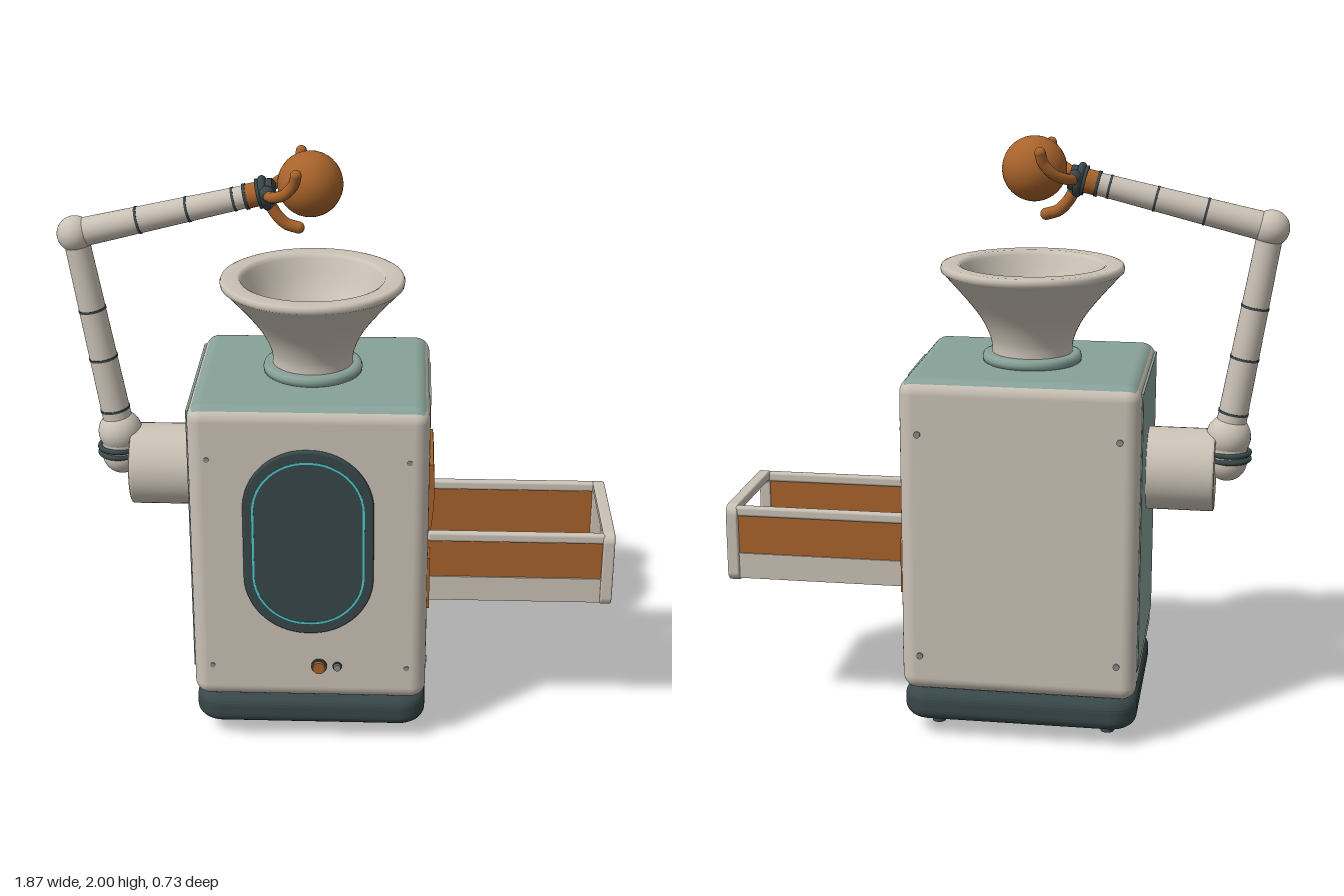
import * as THREE from 'three';
import { RoundedBoxGeometry } from 'three/addons/geometries/RoundedBoxGeometry.js';

const mat = (name, color, side = THREE.FrontSide) => {
  const m = new THREE.MeshStandardMaterial({ color, side });
  m.name = name;
  return m;
};
const cream = mat('cream', 0xcbc2b6);
const sage = mat('sage', 0x87a199);
const dark = mat('charcoal', 0x384749);
const orange = mat('burntOrange', 0xa8632b);
const cyan = mat('cyan', 0x4cc9cc);
const grey = mat('screwGrey', 0x868b89);

const CX = -0.095, CZ = -0.008; // body centre
const V = (x, y, z = -0.015) => new THREE.Vector3(x, y, z);

// Rounded rectangle centred on the origin
function roundRect(w, h, r, Type = THREE.Shape) {
  const s = new Type(), x = w / 2 - r, y = h / 2 - r;
  s.absarc(x, y, r, 0, Math.PI / 2);
  s.absarc(-x, y, r, Math.PI / 2, Math.PI);
  s.absarc(-x, -y, r, Math.PI, Math.PI * 1.5);
  s.absarc(x, -y, r, Math.PI * 1.5, Math.PI * 2);
  s.closePath();
  return s;
}

export function createModel() {
  const model = new THREE.Group();
  model.name = 'machine';

  const add = (name, geo, material, x = 0, y = 0, z = 0, parent = model) => {
    const m = new THREE.Mesh(geo, material);
    m.name = name;
    m.position.set(x, y, z);
    parent.add(m);
    return m;
  };
  // Box given by its limits on each axis
  const box = (name, material, x0, x1, y0, y1, z0, z1, r = 0) => {
    const s = [x1 - x0, y1 - y0, z1 - z0];
    const g = r ? new RoundedBoxGeometry(...s, 3, r) : new THREE.BoxGeometry(...s);
    return add(name, g, material, (x0 + x1) / 2, (y0 + y1) / 2, (z0 + z1) / 2);
  };
  // Cylinder or cone running from a to b
  const limb = (name, material, a, b, r0, r1 = r0) => {
    const d = b.clone().sub(a), c = a.clone().lerp(b, 0.5);
    const m = add(name, new THREE.CylinderGeometry(r1, r0, d.length(), 32), material, c.x, c.y, c.z);
    m.quaternion.setFromUnitVectors(new THREE.Vector3(0, 1, 0), d.normalize());
    return m;
  };
  const ball = (name, material, p, r) =>
    add(name, new THREE.SphereGeometry(r, 32, 20), material, p.x, p.y, p.z);
  const tube = (name, material, points, r) => {
    const curve = new THREE.CatmullRomCurve3(points);
    add(name, new THREE.TubeGeometry(curve, 24, r, 12), material);
    ball(name + 'Tip', material, points[points.length - 1], r);
  };

  // Cabinet: the top face and its rounded edge are sage
  const cabinet = new RoundedBoxGeometry(0.79, 1.08, 0.705, 5, 0.05);
  add('cabinet', cabinet, [cream, cream, sage, cream, cream, cream], CX, 0.71, CZ);
  box('leftPanel', sage, -0.494, -0.486, 0.27, 1.22, -0.31, 0.295);
  box('rightPanelUpper', sage, 0.296, 0.303, 0.95, 1.22, -0.16, 0.14);
  box('rightPanelLower', sage, 0.296, 0.303, 0.27, 0.46, -0.16, 0.14);

  // Base with bulging rim, and feet
  const baseGeo = new THREE.ExtrudeGeometry(roundRect(0.71, 0.62, 0.05), {
    depth: 0.03, bevelThickness: 0.04, bevelSize: 0.04, bevelSegments: 6, curveSegments: 8 });
  baseGeo.rotateX(-Math.PI / 2);
  add('base', baseGeo, dark, CX, 0.1, CZ - 0.002);
  for (const x of [-0.385, 0.2]) for (const z of [-0.205, 0.185])
    limb('foot', dark, V(x, 0, z), V(x, 0.07, z), 0.023);

  // Corner screws on front, back and right faces
  for (const y of [0.3, 1.07]) {
    for (const x of [-0.425, 0.235]) {
      limb('frontScrew', grey, V(x, y, 0.34), V(x, y, 0.347), 0.009);
      limb('backScrew', grey, V(x, y, -0.366), V(x, y, -0.355), 0.011);
    }
    for (const z of [-0.29, 0.275])
      limb('sideScrew', grey, V(0.296, y, z), V(0.304, y, z), 0.011);
  }

  // Front window: raised frame, glowing ring and screen
  const ring = roundRect(0.372, 0.597, 0.18);
  ring.holes.push(roundRect(0.358, 0.583, 0.173, THREE.Path));
  const frame = new THREE.ExtrudeGeometry(roundRect(0.42, 0.66, 0.205), {
    depth: 0.012, bevelThickness: 0.006, bevelSize: 0.006, bevelSegments: 3, curveSegments: 20 });
  add('windowFrame', frame, dark, CX, 0.775, 0.342);
  add('windowGlow', new THREE.ExtrudeGeometry(ring, { depth: 0.002, bevelEnabled: false, curveSegments: 20 }),
    cyan, CX, 0.775, 0.36);

  // Front knobs
  limb('knobCollar', dark, V(-0.062, 0.305, 0.34), V(-0.062, 0.305, 0.352), 0.027);
  limb('knob', orange, V(-0.062, 0.305, 0.34), V(-0.062, 0.305, 0.365), 0.021);
  limb('smallKnobCollar', dark, V(0, 0.305, 0.34), V(0, 0.305, 0.35), 0.016);
  limb('smallKnob', grey, V(0, 0.305, 0.34), V(0, 0.305, 0.36), 0.012);

  // Hopper: outer flare, rolled rim and inner bowl in one lathe
  const outer = new THREE.SplineCurve([[0.135, 1.27], [0.138, 1.32], [0.165, 1.385], [0.215, 1.455], [0.298, 1.55]]
    .map(p => new THREE.Vector2(...p))).getPoints(24);
  const rim = [[0.305, 1.555], [0.307, 1.567], [0.303, 1.577], [0.295, 1.58], [0.25, 1.58], [0.24, 1.575]]
    .map(p => new THREE.Vector2(...p));
  const inner = new THREE.SplineCurve([[0.235, 1.565], [0.195, 1.48], [0.14, 1.4], [0.115, 1.33], [0.11, 1.27]]
    .map(p => new THREE.Vector2(...p))).getPoints(20);
  add('hopper', new THREE.LatheGeometry([...outer, ...rim, ...inner], 64), cream, CX, 0, -0.012);
  const collar = [[0.13, 1.25], [0.165, 1.25], [0.167, 1.265], [0.163, 1.278], [0.15, 1.282], [0, 1.282]];
  add('hopperCollar', new THREE.LatheGeometry(collar.map(p => new THREE.Vector2(...p)), 64), sage, CX, 0, -0.012);

  // Outlet flap, gently bowed
  const bow = new THREE.Shape();
  bow.moveTo(0.295, 0.72);
  bow.lineTo(0.31, 0.72);
  bow.quadraticCurveTo(0.328, 0.85, 0.316, 0.97);
  bow.lineTo(0.295, 0.97);
  bow.closePath();
  add('outletFlap', new THREE.ExtrudeGeometry(bow, { depth: 0.3, bevelEnabled: false, curveSegments: 10 }),
    orange, 0, 0, -0.16);

  // Tray: back plate, floor, sides, rails and open end frame
  box('trayBackPlate', orange, 0.295, 0.308, 0.5, 0.69, -0.3, 0.278);
  box('trayFloor', orange, 0.3, 0.9, 0.495, 0.507, -0.215, 0.195);
  for (const s of [-1, 1]) {
    const z = -0.01 + s * 0.203;
    box('traySide', orange, 0.3, 0.9, 0.5, 0.72, z - 0.006, z + 0.006);
    box('trayLowerRail', cream, 0.3, 0.9, 0.492, 0.582, z - 0.006 + s * 0.005, z + 0.006 + s * 0.005);
    box('trayTopRail', cream, 0.3, 0.9, 0.715, 0.75, z - 0.014, z + 0.014, 0.01);
  }
  const endShape = roundRect(0.45, 0.275, 0.035);
  endShape.holes.push(roundRect(0.385, 0.21, 0.018, THREE.Path));
  const endGeo = new THREE.ExtrudeGeometry(endShape, {
    depth: 0.028, bevelThickness: 0.006, bevelSize: 0.006, bevelOffset: -0.006, bevelSegments: 3, curveSegments: 8 });
  endGeo.rotateY(Math.PI / 2);
  add('trayEndFrame', endGeo, cream, 0.896, 0.6175, -0.01);

  // Shoulder drum
  const drum = [[0, 0], [0.14, 0], [0.14, 0.225], [0.138, 0.232], [0.132, 0.235], [0, 0.235]];
  const drumProfile = drum.flatMap(p => [new THREE.Vector2(...p), new THREE.Vector2(...p)]);
  add('shoulderDrum', new THREE.LatheGeometry(drumProfile, 48), cream, -0.485, 0.89, -0.015)
    .rotation.z = Math.PI / 2;

  // Shoulder joint
  const shoulder = V(-0.76, 1.01), elbow = V(-0.875, 1.715), wrist = V(-0.29, 1.852);
  ball('shoulderBall', cream, shoulder, 0.075);
  ball('shoulderCup', cream, V(-0.757, 0.925), 0.068);
  limb('shoulderNeck', cream, V(-0.757, 0.925), shoulder, 0.066);
  for (const y of [0.935, 0.957]) {
    const t = add('shoulderRing', new THREE.TorusGeometry(0.066, 0.009, 10, 40), dark, -0.765, y, -0.015);
    t.rotation.x = Math.PI / 2;
  }

  // Two arm segments with dark bands
  const segment = (name, a, b, r0, r1, bands) => {
    limb(name, cream, a, b, r0, r1);
    const dir = b.clone().sub(a).normalize();
    for (const t of bands) {
      const p = a.clone().lerp(b, t), r = r0 + (r1 - r0) * t + 0.002;
      limb(name + 'Band', dark, p.clone().addScaledVector(dir, -0.004), p.clone().addScaledVector(dir, 0.004), r);
    }
  };
  segment('lowerArm', shoulder, elbow, 0.05, 0.042, [0.12, 0.385, 0.63]);
  ball('elbowBall', cream, elbow, 0.06);
  segment('upperArm', elbow, wrist, 0.048, 0.037, [0.36, 0.64, 0.9]);

  // Wrist: orange cuff and dark palm
  const along = wrist.clone().sub(elbow).normalize();
  const at = d => wrist.clone().addScaledVector(along, d);
  limb('wristBand', dark, at(-0.025), at(-0.015), 0.043);
  limb('wristCuff', orange, at(-0.015), at(0.025), 0.04);
  limb('palm', dark, at(0.02), at(0.075), 0.05, 0.04);
  const palmRing = add('palmRing', new THREE.TorusGeometry(0.044, 0.013, 12, 36), dark, ...at(0.042).toArray());
  palmRing.quaternion.setFromUnitVectors(new THREE.Vector3(0, 0, 1), along);

  // Claw: two upper fingers, one lower, holding a ball
  for (const s of [-1, 1]) {
    const z = d => -0.012 + s * d;
    ball('knuckle', dark, V(-0.238, 1.873, z(0.045)), 0.024);
    tube('upperFinger', orange, [V(-0.24, 1.865, z(0.04)), V(-0.215, 1.872, z(0.09)),
      V(-0.175, 1.893, z(0.125)), V(-0.145, 1.93, z(0.14)), V(-0.137, 1.962, z(0.15))], 0.018);
  }
  ball('knuckle', dark, V(-0.235, 1.825), 0.024);
  tube('lowerFinger', orange, [V(-0.235, 1.83), V(-0.212, 1.79), V(-0.18, 1.758), V(-0.14, 1.745)], 0.02);
  ball('heldBall', orange, V(-0.1, 1.893, -0.012), 0.107);

  return model;
}
